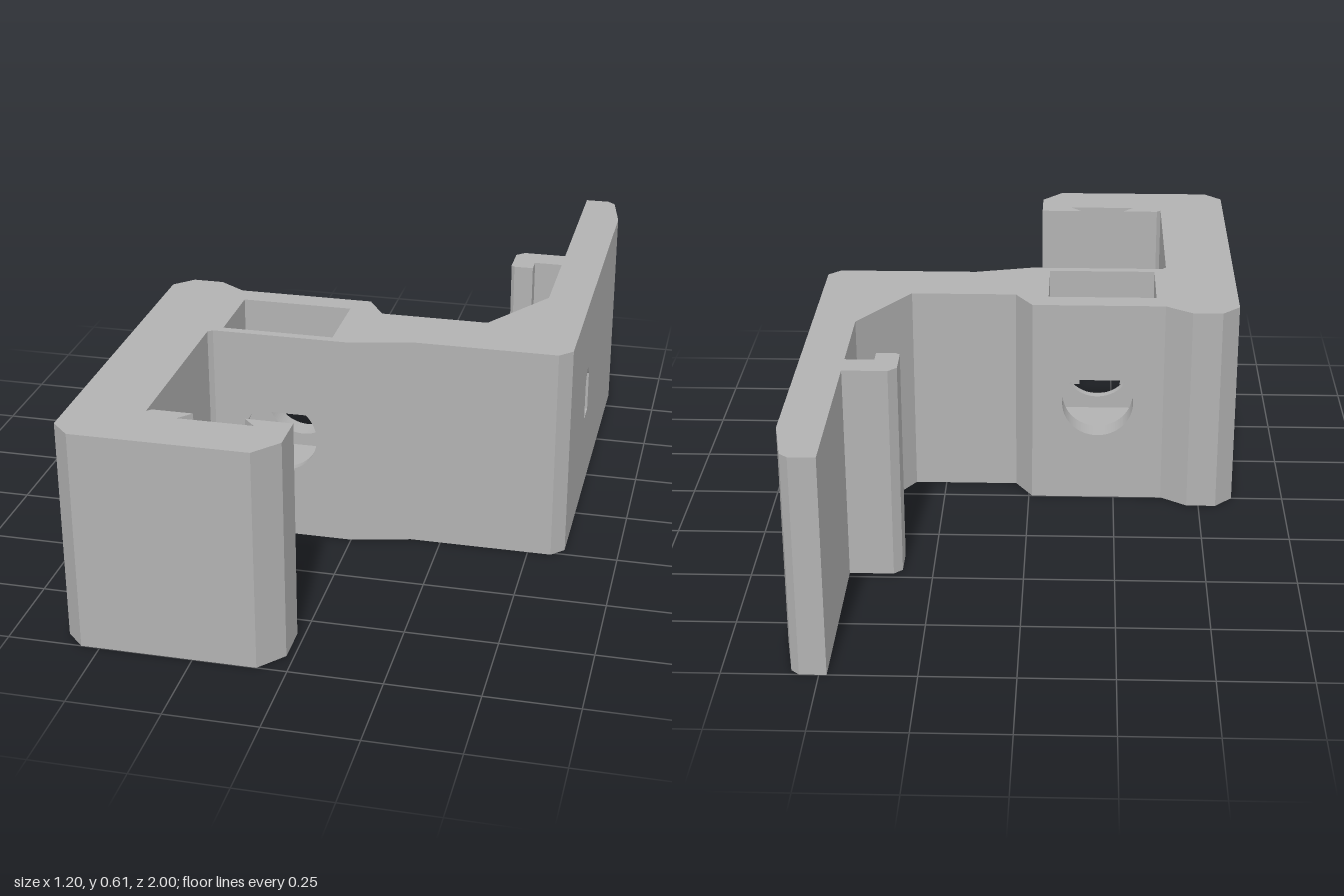
import * as THREE from 'three';

const H = 0.61; // height of the bracket

export function createModel() {
  const group = new THREE.Group();
  const grey = new THREE.MeshStandardMaterial({ color: 0xb2b2b2 });
  grey.name = 'grey plastic';

  const add = (name, geometry) => {
    const mesh = new THREE.Mesh(geometry, grey);
    mesh.name = name;
    group.add(mesh);
  };
  const shapeOf = (points) => new THREE.Shape(points.map(([x, y]) => new THREE.Vector2(x, y)));
  const extrude = (shape, depth) =>
    new THREE.ExtrudeGeometry(shape, { depth, bevelEnabled: false, curveSegments: 40 });

  // Plan outline given as [x, z], raised to a height
  const prism = (name, points, height = H) =>
    add(name, extrude(shapeOf(points.map(([x, z]) => [x, -z])), height).rotateX(-Math.PI / 2));

  // Left arm with the dovetailed front jaw
  prism('frontJaw', [
    [-0.365, 0], [-0.39, 0], [-0.465, -0.05], [-0.55, -0.05], [-0.6, 0], [-0.6, 0.95],
    [-0.55, 1], [-0.08, 1], [-0.02, 0.93], [-0.02, 0.82], [-0.145, 0.82], [-0.112, 0.855],
    [-0.312, 0.855], [-0.28, 0.82], [-0.388, 0.82], [-0.4, 0.832], [-0.4, 0.312],
    [-0.388, 0.3], [-0.365, 0.3],
  ]);

  // Crossbar with its sloped inner corner
  prism('crossbar', [
    [-0.055, 0], [-0.01, 0], [0.04, 0.08], [0.34, 0.08], [0.48, -0.14], [0.48, -0.1],
    [0.6, -0.1], [0.6, 0.225], [0.565, 0.26], [0.165, 0.26], [0, 0.3], [-0.055, 0.3],
  ]);

  // Rear arm with the small hook
  prism('rearArm', [
    [0.48, -0.25], [0.48, -0.405], [0.4, -0.405], [0.4, -0.36], [0.345, -0.36],
    [0.335, -0.37], [0.335, -0.458], [0.358, -0.48], [0.48, -0.48], [0.48, -1],
    [0.55, -1], [0.572, -0.98], [0.6, -0.835], [0.6, -0.25],
  ]);

  // Section of the rear arm pierced by a small slot, drawn as [-z, y]
  const slotWall = shapeOf([[0.1, 0], [0.25, 0], [0.25, H], [0.1, H]]);
  slotWall.holes.push(shapeOf([
    [0.117, 0.25], [0.187, 0.25], [0.187, 0.365], [0.16, 0.395], [0.144, 0.395], [0.117, 0.365],
  ]));
  add('slottedArmSection', extrude(slotWall, 0.12).rotateY(Math.PI / 2).translate(0.48, 0, 0));

  // Pocket: two walls with teardrop holes, and a floor
  const [left, right, r, cx, cy] = [-0.365, -0.055, 0.103, -0.2, 0.305];
  const pocketWall = (name, z0, z1) => {
    const wall = shapeOf([[left, 0], [right, 0], [right, H], [left, H]]);
    const teardrop = new THREE.Path();
    teardrop.moveTo(cx, cy + r * Math.SQRT2);
    teardrop.absarc(cx, cy, r, Math.PI * 0.25, Math.PI * 0.75, true);
    teardrop.closePath();
    wall.holes.push(teardrop);
    add(name, extrude(wall, z1 - z0).translate(0, 0, z0));
  };
  pocketWall('pocketFrontWall', 0.275, 0.3);
  pocketWall('pocketBackWall', 0, 0.065);
  prism('pocketFloor', [[left, 0.065], [right, 0.065], [right, 0.275], [left, 0.275]], 0.165);

  return group;
}
